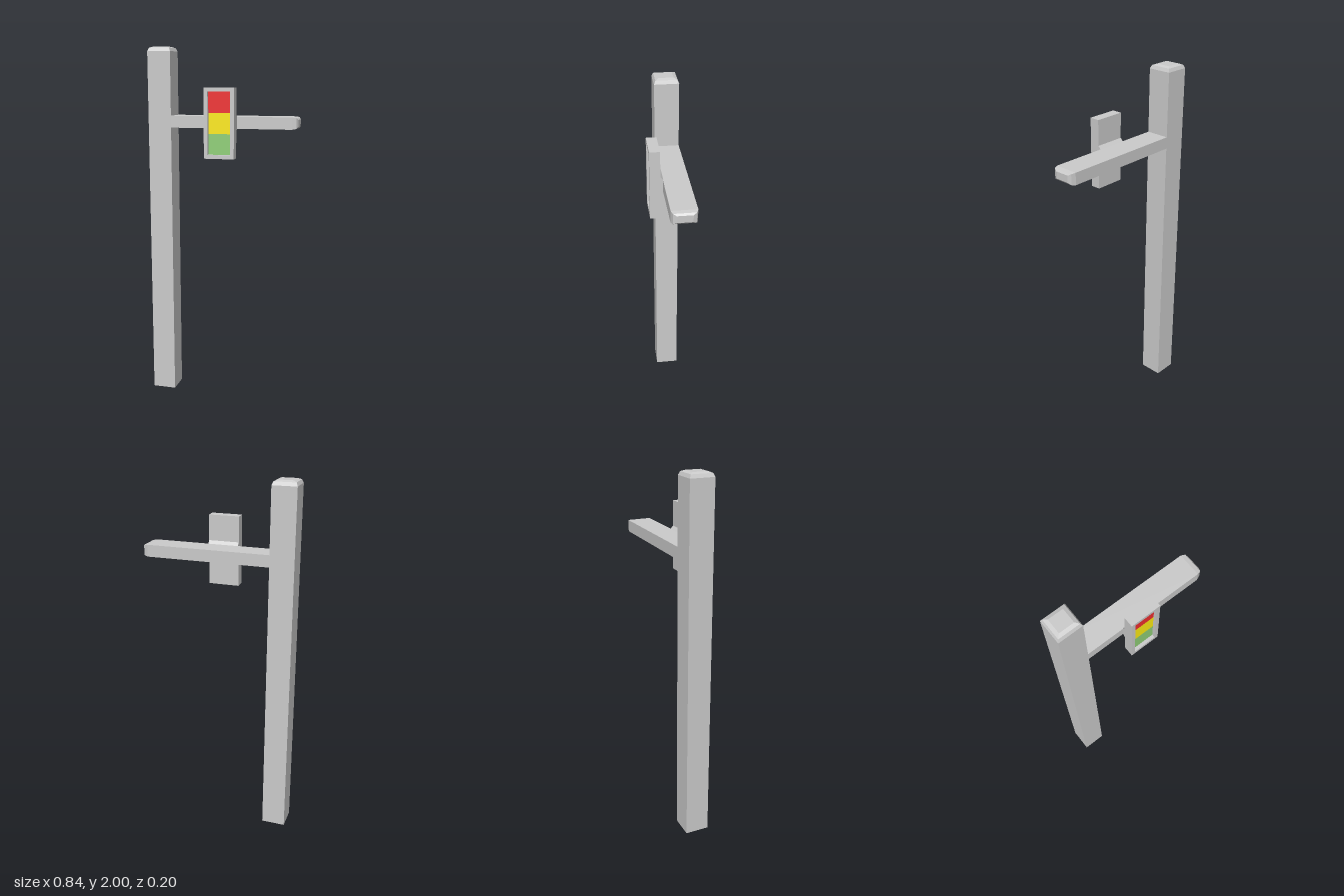
import * as THREE from 'three';

const paint = (color) => new THREE.MeshStandardMaterial({ color, flatShading: true });
const grey = paint(0xcccccc);

function part(name, geometry, material = grey) {
  const mesh = new THREE.Mesh(geometry, material);
  mesh.name = name;
  return mesh;
}

// Closed bar along +z through rectangular sections [z, halfWidth, halfHeight]
function bar(sections) {
  const pos = [], idx = [];
  for (const [z, w, h] of sections) pos.push(-w, -h, z, w, -h, z, w, h, z, -w, h, z);
  for (let s = 0; s < sections.length - 1; s++) {
    for (let i = 0; i < 4; i++) {
      const a = s * 4 + i, b = s * 4 + (i + 1) % 4;
      idx.push(a, b, b + 4, a, b + 4, a + 4);
    }
  }
  const e = (sections.length - 1) * 4;
  idx.push(0, 2, 1, 0, 3, 2, e, e + 1, e + 2, e, e + 2, e + 3);
  const indexed = new THREE.BufferGeometry();
  indexed.setAttribute('position', new THREE.Float32BufferAttribute(pos, 3));
  indexed.setIndex(idx);
  const g = indexed.toNonIndexed();
  g.computeVertexNormals();
  return g;
}

const rect = (Type, x0, y0, x1, y1) => new Type(
  [[x0, y0], [x1, y0], [x1, y1], [x0, y1]].map(([x, y]) => new THREE.Vector2(x, y)));

export function createModel() {
  const model = new THREE.Group();
  model.name = 'trafficLight';

  // Square pole with a two-step bevelled top
  const pole = part('pole', bar([
    [0, 0.066, 0.066], [1.975, 0.066, 0.066], [1.993, 0.058, 0.058], [2, 0.04, 0.04],
  ]).rotateX(-Math.PI / 2));
  pole.position.set(-0.356, 0, -0.034);
  model.add(pole);

  // Flat arm reaching out from the pole, bevelled at its free end
  const arm = part('arm', bar([
    [0, 0.066, 0.0325], [0.68, 0.066, 0.0325], [0.702, 0.058, 0.0285], [0.71, 0.04, 0.019],
  ]).rotateY(Math.PI / 2));
  arm.position.set(-0.29, 1.5925, -0.034);
  model.add(arm);

  // Flared bracket between arm and signal head
  const bracket = part('bracket', bar([[0.03, 0.084, 0.0325], [0.046, 0.084, 0.05]]));
  bracket.position.set(0.004, 1.5925, 0);
  model.add(bracket);

  // Signal head: back plate with a raised frame
  const head = new THREE.Group();
  head.name = 'signalHead';
  head.position.set(0.004, 1.59, 0);
  const back = part('backPlate', new THREE.BoxGeometry(0.168, 0.38, 0.034));
  back.position.z = 0.062;
  const outline = rect(THREE.Shape, -0.084, -0.19, 0.084, 0.19);
  outline.holes.push(rect(THREE.Path, -0.063, -0.169, 0.063, 0.169));
  const frame = part('frame', new THREE.ExtrudeGeometry(outline, { depth: 0.021, bevelEnabled: false }));
  frame.position.z = 0.079;
  head.add(back, frame);

  // Three coloured panels recessed in the frame
  const lights = [['redLight', 0xf12e30], ['yellowLight', 0xffec14], ['greenLight', 0x91d078]];
  const step = 0.338 / 3;
  lights.forEach(([name, color], i) => {
    const light = part(name, new THREE.BoxGeometry(0.126, step, 0.004), paint(color));
    light.position.set(0, (1 - i) * step, 0.08);
    head.add(light);
  });
  model.add(head);
  return model;
}
